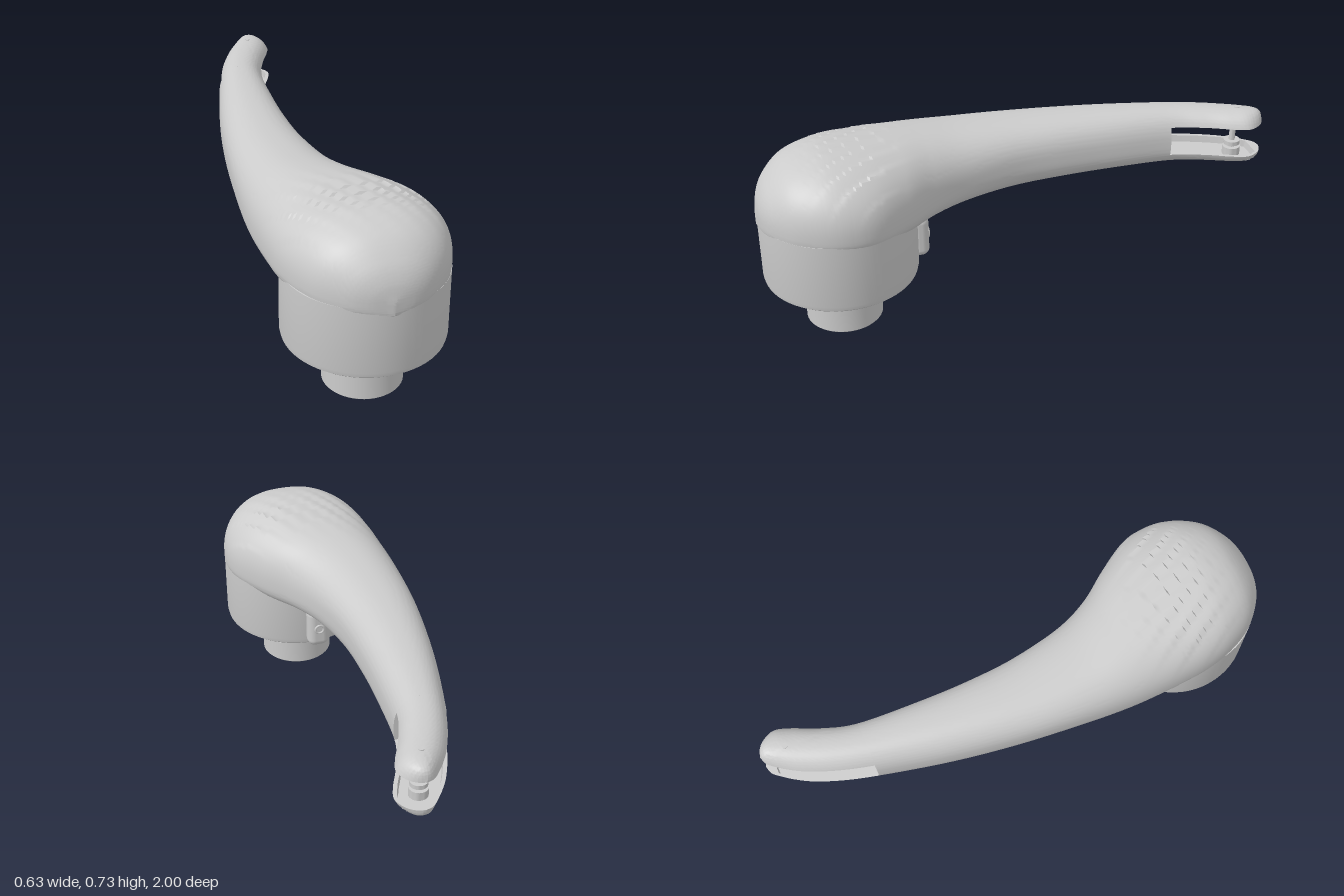
import * as THREE from 'three';
import { toCreasedNormals } from 'three/addons/utils/BufferGeometryUtils.js';
import { RoundedBoxGeometry } from 'three/addons/geometries/RoundedBoxGeometry.js';

const material = new THREE.MeshStandardMaterial({ color: 0xcccccc, roughness: 0.6 });
const AXIS = { x: 0.013, z: 0.7 }; // vertical axis of the head

// Stations from head to tip: z, left edge, right edge, bottom, top
const STATIONS = [
  [1, 0.013, 0.013, 0.45, 0.5], [0.985, -0.075, 0.1, 0.44, 0.57],
  [0.95, -0.147, 0.173, 0.43, 0.63], [0.88, -0.22, 0.248, 0.42, 0.69],
  [0.78, -0.27, 0.298, 0.41, 0.722], [0.68, -0.296, 0.311, 0.4, 0.73],
  [0.58, -0.307, 0.288, 0.4, 0.727], [0.46, -0.313, 0.213, 0.395, 0.713],
  [0.34, -0.315, 0.125, 0.397, 0.697], [0.2, -0.31, 0.06, 0.4, 0.682],
  [0, -0.295, 0.015, 0.41, 0.672], [-0.2, -0.27, 0, 0.417, 0.668],
  [-0.4, -0.235, 0, 0.425, 0.665], [-0.63, -0.182, 0.012, 0.434, 0.661],
  [-0.76, -0.145, 0.05, 0.437, 0.66], [-0.86, -0.105, 0.095, 0.44, 0.66],
  [-0.92, -0.07, 0.111, 0.443, 0.66], [-0.965, -0.035, 0.09, 0.447, 0.655],
  [-0.99, -0.01, 0.06, 0.455, 0.64], [-1, 0.02, 0.025, 0.48, 0.61],
];
const LAST = STATIONS.length - 1;
const FORK = 13; // station where the arm splits into two jaws
const spline = (a, b) => new THREE.CatmullRomCurve3(
  STATIONS.map((s) => new THREE.Vector3(s[0], s[a], s[b])), false, 'catmullrom', 0.5);
const planCurve = spline(1, 2);
const sideCurve = spline(3, 4);

// One superellipse section; a jaw clips it at a plane and sinks a shallow tray
function section(station, count, jaw) {
  const plan = planCurve.getPoint(station / LAST);
  const side = sideCurve.getPoint(station / LAST);
  const z = plan.x;
  const cx = (plan.y + plan.z) / 2, half = (plan.z - plan.y) / 2;
  const mid = 0.54 - 0.04 * THREE.MathUtils.smoothstep(z, 0, 0.45);
  const up = side.z - mid, down = mid - side.y;
  const points = [];
  for (let i = 0; i < count; i++) {
    const a = (i / count) * Math.PI * 2;
    const c = Math.cos(a), s = Math.sin(a);
    const n = s >= 0 ? 2.35 : 3;
    let u = Math.sign(c) * Math.abs(c) ** (2 / n);
    let y = mid + Math.sign(s) * Math.abs(s) ** (2 / n) * (s >= 0 ? up : down);
    if (jaw && (y - jaw.plane) * jaw.dir < 0) {
      const h = Math.abs((jaw.plane - mid) / (jaw.dir > 0 ? up : down));
      const m = jaw.dir > 0 ? 2.35 : 3;
      const limit = Math.max(0, 1 - h ** m) ** (1 / m);
      u = THREE.MathUtils.clamp(u, -limit, limit);
      y = Math.abs(u) < limit * 0.8 && station < 17 ? jaw.floor : jaw.plane;
    }
    const x = cx + u * half;
    if (!jaw && s > 0) {
      // Swept shingle ridges over the crown
      const phase = (x - 0.6 * (z - 0.65)) / 0.075;
      y -= 0.011 * (phase - Math.floor(phase)) * s * Math.exp(-(((z - 0.64) / 0.14) ** 2));
    }
    points.push([x, y, z]);
  }
  return points;
}

// Skin sections between two stations and close both ends
function loft(from, to, rows, count, jaw) {
  const positions = [], index = [];
  for (let k = 0; k <= rows; k++) {
    const ring = section(from + ((to - from) * k) / rows, count, jaw);
    ring.forEach((p) => positions.push(...p));
    if (k === rows) break;
    for (let i = 0; i < count; i++) {
      const a = k * count + i, b = k * count + ((i + 1) % count);
      index.push(a, a + count, b, b, a + count, b + count);
    }
  }
  [0, rows].forEach((k) => {
    const first = k * count, centre = positions.length / 3, sum = [0, 0, 0];
    for (let i = 0; i < count; i++) {
      for (let j = 0; j < 3; j++) sum[j] += positions[(first + i) * 3 + j] / count;
      const a = first + i, b = first + ((i + 1) % count);
      if (k === 0) index.push(centre, a, b);
      else index.push(centre, b, a);
    }
    positions.push(...sum);
  });
  const geometry = new THREE.BufferGeometry();
  geometry.setAttribute('position', new THREE.Float32BufferAttribute(positions, 3));
  geometry.setIndex(index);
  return toCreasedNormals(geometry, 0.6);
}

function lathe(profile, segments) {
  const points = profile.map(([r, y]) => new THREE.Vector2(r, y));
  return toCreasedNormals(new THREE.LatheGeometry(points, segments), 0.5);
}

export function createModel() {
  const model = new THREE.Group();
  model.name = 'leverHandle';
  const add = (name, geometry, x = 0, y = 0, z = 0, parent = model) => {
    const mesh = new THREE.Mesh(geometry, material);
    mesh.name = name;
    mesh.position.set(x, y, z);
    parent.add(mesh);
    return mesh;
  };

  // Domed head flowing into the curved arm
  add('headAndArm', loft(0, FORK, 156, 112));

  // Forked tip with hollowed jaws
  add('upperJaw', loft(FORK, LAST, 60, 96, { plane: 0.603, dir: 1, floor: 0.63 }));
  add('lowerJaw', loft(FORK, LAST, 60, 96, { plane: 0.485, dir: -1, floor: 0.458 }));

  // Round housing below the dome
  add('housing', lathe([[0, 0.155], [0.19, 0.157], [0.23, 0.167], [0.275, 0.193],
    [0.292, 0.207], [0.296, 0.225], [0.296, 0.48], [0, 0.48]], 64), AXIS.x, 0, AXIS.z);

  // Mounting spigot
  add('spigot', lathe([[0, 0], [0.142, 0], [0.147, 0.005], [0.147, 0.17], [0, 0.17]], 48),
    AXIS.x, 0, AXIS.z);
  add('spigotCollar', lathe([[0.14, 0.15], [0.165, 0.15], [0.165, 0.16]], 48), AXIS.x, 0, AXIS.z);
  const locatingPin = add('locatingPin', new THREE.CylinderGeometry(0.006, 0.006, 0.02, 12),
    -0.135, 0.07, AXIS.z);
  locatingPin.rotation.z = Math.PI / 2;

  // Rings of flush screws under the housing and spigot
  const screwRing = (name, count, radius, y, tilt, offset, size) => {
    const ring = new THREE.Group();
    ring.name = name;
    ring.position.set(AXIS.x, 0, AXIS.z);
    for (let i = 0; i < count; i++) {
      const arm = new THREE.Group();
      arm.rotation.y = ((i + offset) / count) * Math.PI * 2;
      add('screw', new THREE.CylinderGeometry(size, size, 0.006, 16), 0, y, radius, arm)
        .rotation.x = -tilt;
      ring.add(arm);
    }
    model.add(ring);
  };
  screwRing('outerScrews', 10, 0.255, 0.182, 0.53, 0.2, 0.01);
  screwRing('innerScrews', 10, 0.21, 0.162, 0.25, 0.7, 0.01);
  screwRing('spigotScrews', 5, 0.095, 0.002, 0, 0.3, 0.008);

  // Latch block behind the housing
  add('latch', new RoundedBoxGeometry(0.09, 0.175, 0.07, 4, 0.03), 0, 0.297, 0.392);
  const eye = add('latchEye', new THREE.TorusGeometry(0.018, 0.005, 8, 20), 0, 0.297, 0.357);
  eye.name = 'latchEye';

  // Spool pin between the jaws
  add('spoolPin', lathe([[0, 0.455], [0.035, 0.455], [0.035, 0.492], [0.016, 0.492],
    [0.016, 0.503], [0.032, 0.503], [0.032, 0.52], [0.012, 0.52], [0.012, 0.575],
    [0.03, 0.575], [0.03, 0.587], [0.04, 0.587], [0.04, 0.6], [0.02, 0.6],
    [0.02, 0.635], [0, 0.635]], 28), 0.01, 0, -0.89);
  add('pinCap', new THREE.CylinderGeometry(0.01, 0.01, 0.006, 16), 0.01, 0.66, -0.9);

  return model;
}
